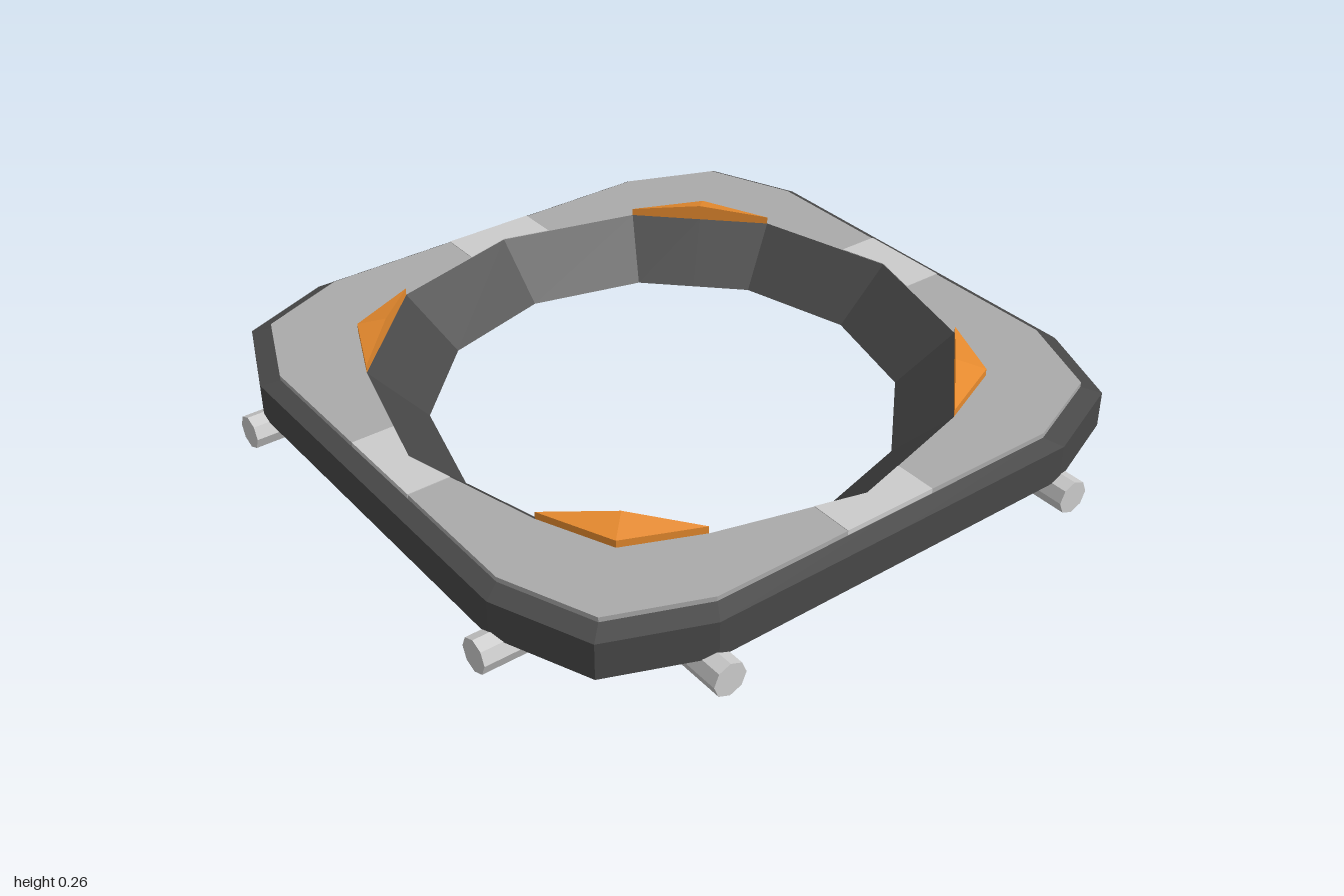
import * as THREE from 'three';
import { ConvexGeometry } from 'three/addons/geometries/ConvexGeometry.js';

const mat = (color) => new THREE.MeshStandardMaterial({ color, flatShading: true });

// Repeat the points of one quadrant four times around y
function ring(quarter, y) {
  const pts = [];
  for (let k = 0; k < 4; k++) {
    for (const [x, z] of quarter) {
      const [px, pz] = [[x, z], [-z, x], [-x, -z], [z, -x]][k];
      pts.push([px, y, pz]);
    }
  }
  return pts;
}

// Square with double-cut corners: a = half width, b = straight half length, c = corner
const square = (a, b, c, y) => ring([[a, 0], [a, b], [c, c], [b, a]], y);

// Twelve-sided opening, with one extra point on each diagonal
function opening(r, y) {
  const c = r * Math.cos(Math.PI / 6), s = r / 2, m = (c + s) / 2;
  return ring([[r, 0], [c, s], [m, m], [s, c]], y);
}

// Skin a series of rings with flat faces
function skin(rings) {
  const pos = [];
  for (let i = 0; i < rings.length - 1; i++) {
    const lo = rings[i], up = rings[i + 1], n = lo.length;
    for (let j = 0; j < n; j++) {
      const k = (j + 1) % n;
      pos.push(...lo[j], ...up[j], ...lo[k], ...up[j], ...up[k], ...lo[k]);
    }
  }
  const g = new THREE.BufferGeometry();
  g.setAttribute('position', new THREE.Float32BufferAttribute(pos, 3));
  g.computeVertexNormals();
  return g;
}

export function createModel() {
  const group = new THREE.Group();
  const dark = mat(0x484848), plateGrey = mat(0xaaaaaa), light = mat(0xcccccc), orange = mat(0xe68a2e);
  const add = (name, geometry, material, parent = group) => {
    const mesh = new THREE.Mesh(geometry, material);
    mesh.name = name;
    parent.add(mesh);
    return mesh;
  };

  // Dark frame: underside, bevelled outer wall and shoulder
  add('frame', skin([
    opening(0.66, 0.06),
    square(0.905, 0.54, 0.8, 0.06),
    square(0.953, 0.57, 0.842, 0.08),
    square(0.953, 0.57, 0.842, 0.185),
    square(0.905, 0.54, 0.8, 0.2),
  ]), dark);

  // Tapered wall of the opening
  add('innerWall', skin([opening(0.82, 0.214), opening(0.66, 0.06)]), dark);

  // Grey plate on top
  add('topPlate', skin([
    square(0.905, 0.54, 0.8, 0.2),
    square(0.905, 0.54, 0.8, 0.214),
    opening(0.82, 0.214),
  ]), plateGrey);

  // Light panel in the middle of each side, pointed at the opening
  const panelShape = new THREE.Shape([
    [-0.14, 0.906], [-0.14, 0.783], [0, 0.82], [0.14, 0.783], [0.14, 0.906],
  ].map(([x, y]) => new THREE.Vector2(x, y)));
  const panelGeo = new THREE.ExtrudeGeometry(panelShape, { depth: 0.014, bevelEnabled: false });
  panelGeo.rotateX(Math.PI / 2).translate(0, 0.216, 0);

  // Corner wedge sitting along one edge of the opening
  const wedgeGeo = new ConvexGeometry([
    [0.41, 0.21, 0.71], [0.71, 0.21, 0.41], [0.62, 0.21, 0.62],
    [0.41, 0.235, 0.71], [0.71, 0.235, 0.41], [0.62, 0.235, 0.62],
    [0.56, 0.26, 0.56],
  ].map((p) => new THREE.Vector3(...p)));

  // Eight-sided pegs under the frame
  const pegGeo = new THREE.CylinderGeometry(0.048, 0.048, 0.175, 8);
  pegGeo.rotateX(Math.PI / 2);

  for (let k = 0; k < 4; k++) {
    const side = new THREE.Group();
    side.name = 'side' + (k + 1);
    side.rotation.y = k * Math.PI / 2;
    add('sidePanel', panelGeo, light, side);
    add('cornerWedge', wedgeGeo, orange, side);
    for (const x of [-0.575, 0.575]) {
      add('peg', pegGeo, light, side).position.set(x, 0.048, 0.9125);
    }
    group.add(side);
  }
  return group;
}
